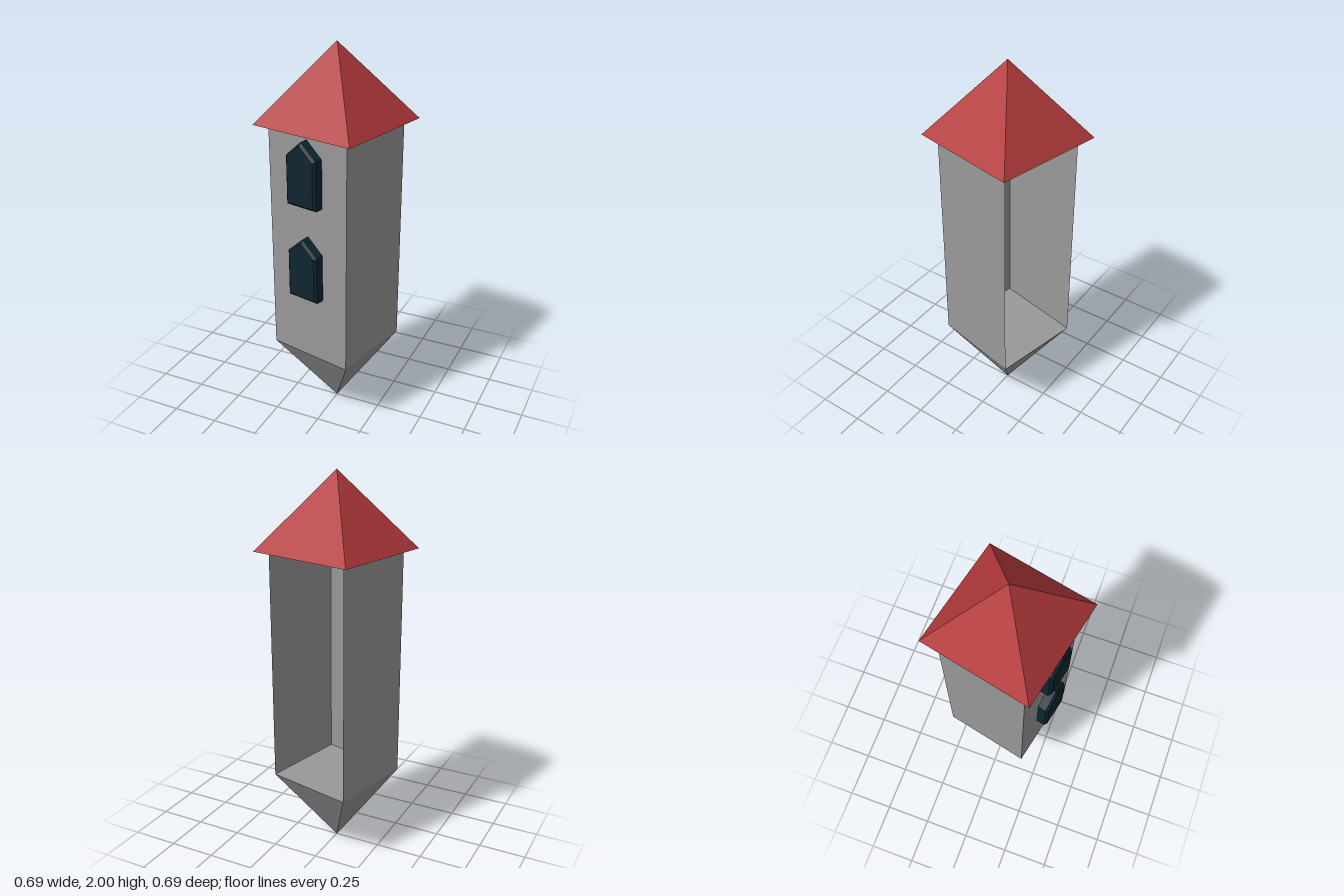
import * as THREE from 'three';

const TURN = THREE.MathUtils.degToRad(32.6); // direction of the front left corner
const BASE = 0.39, EAVES = 1.61, TOP = 2;

const material = (name, color, extra = {}) => {
  const m = new THREE.MeshStandardMaterial({ color, flatShading: true, ...extra });
  m.name = name;
  return m;
};

export function createModel() {
  const group = new THREE.Group();
  group.name = 'tower';
  const stone = material('grey stone', 0x999999, { side: THREE.DoubleSide });
  const red = material('red roof', 0xb43a3c);
  const glass = material('dark window', 0x0f2631);

  const add = (name, geometry, mat, y = 0) => {
    const mesh = new THREE.Mesh(geometry, mat);
    mesh.name = name;
    mesh.position.y = y;
    group.add(mesh);
    return mesh;
  };

  // Three thin walls; the back is open
  const height = EAVES - BASE;
  add('walls', new THREE.CylinderGeometry(0.333, 0.333, height, 3, 1, true,
    TURN + Math.PI, Math.PI * 1.5), stone, BASE + height / 2);

  // Closed four-sided roof
  add('roof', new THREE.ConeGeometry(0.409, TOP - EAVES, 4, 1, false, TURN),
    red, (EAVES + TOP) / 2);

  // Inverted pyramid under the tower, closed by a flat floor
  add('pointedBase', new THREE.CylinderGeometry(0.333, 0, BASE, 4, 1, false, TURN),
    stone, BASE / 2);

  // Pointed windows with bevelled edges, set through the front wall
  const w = 0.09, bevel = 0.013, front = 0.057, back = 0.07;
  const outline = new THREE.Shape([[-w, 0], [w, 0], [w, 0.25], [0, 0.33], [-w, 0.25]]
    .map(([x, y]) => new THREE.Vector2(x, y)));
  const windowGeometry = new THREE.ExtrudeGeometry(outline, {
    depth: front + back - 2 * bevel,
    bevelThickness: bevel, bevelSize: bevel, bevelOffset: -bevel, bevelSegments: 1,
  });
  const wallDistance = 0.333 * Math.SQRT1_2;
  windowGeometry.translate(0, 0, wallDistance - back + bevel);
  windowGeometry.rotateY(TURN - Math.PI / 4);
  add('lowerWindow', windowGeometry, glass, 0.75);
  add('upperWindow', windowGeometry, glass, 1.25);

  return group;
}
